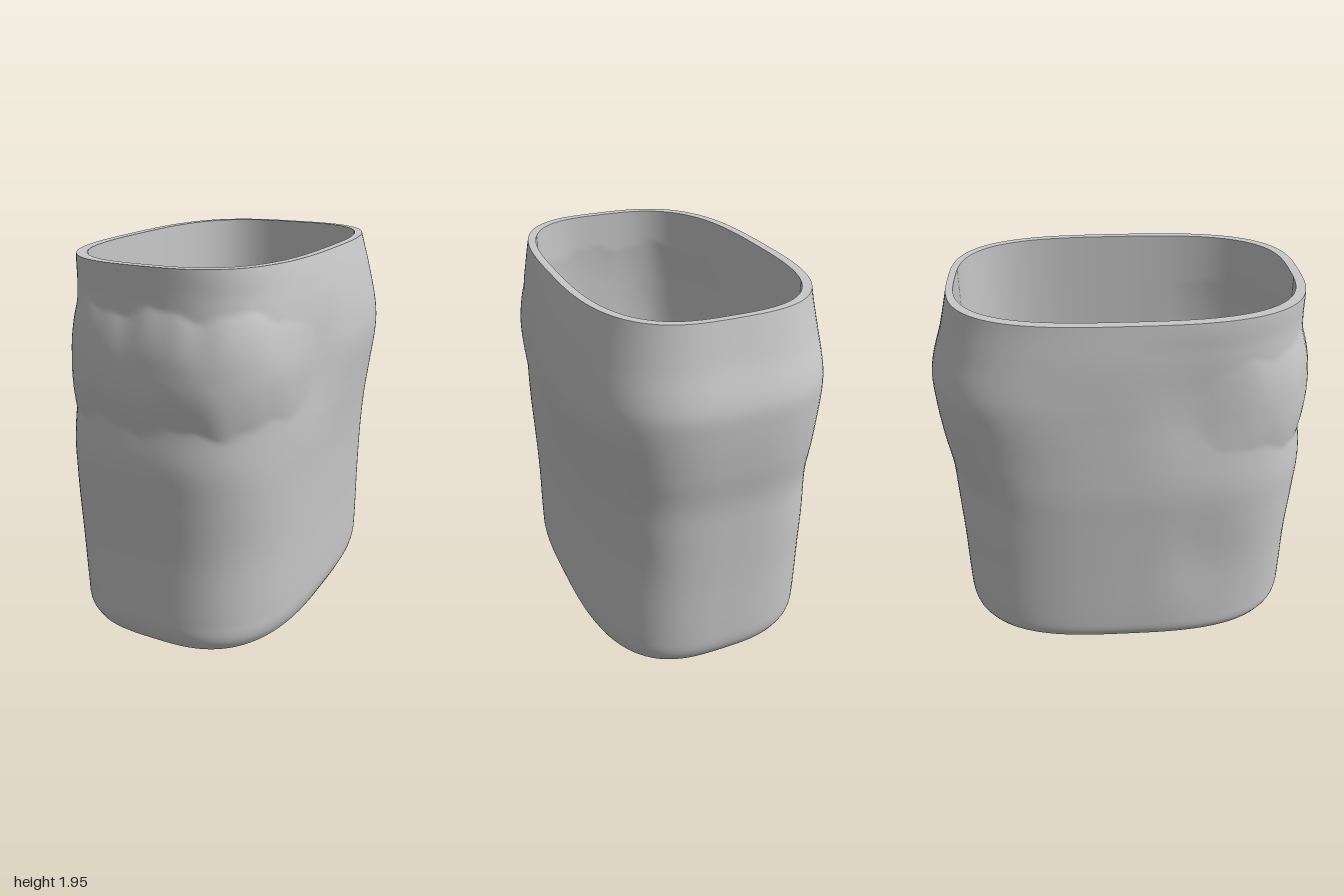
import * as THREE from 'three';

const HEIGHT = 1.95;
const SEGMENTS = 180;

// Outer half-widths per side: [y, left +x, right -x, front +z, back -z]
const PROFILE = [
  [0, 0.585, 0.625, 0.93, 0.88],
  [0.05, 0.608, 0.652, 0.955, 0.905],
  [0.12, 0.62, 0.66, 0.965, 0.915],
  [0.5, 0.622, 0.666, 0.967, 0.921],
  [0.8, 0.627, 0.672, 0.985, 0.932],
  [1.0, 0.638, 0.677, 0.994, 0.942],
  [1.2, 0.656, 0.671, 0.972, 0.972],
  [1.42, 0.674, 0.663, 0.96, 0.992],
  [1.55, 0.667, 0.659, 0.952, 0.99],
  [1.75, 0.635, 0.648, 0.938, 0.93],
  [HEIGHT, 0.585, 0.625, 0.93, 0.88],
];

// Soft swells and dents: [angle from front, y, angle width, height width, amount]
const LUMPS = [
  [0.6, 0.85, 0.22, 0.25, 0.012],
  [-0.6, 0.6, 0.22, 0.4, 0.016],
  [-0.98, 0.55, 0.22, 0.28, -0.022],
  [1.08, 1.43, 0.36, 0.28, -0.04],
  [-1.02, 1.48, 0.34, 0.32, -0.036],
  [2.6, 0.65, 0.14, 0.18, -0.008],
  [-2.6, 0.92, 0.2, 0.16, -0.016],
  [-2.4, 1.5, 0.3, 0.24, 0.026],
  [2.3, 1.45, 0.25, 0.24, 0.008],
];

// Smooth cubic through the profile rows
function sidesAt(y) {
  let i = 0;
  while (i < PROFILE.length - 2 && y > PROFILE[i + 1][0]) i++;
  const p = PROFILE[i], q = PROFILE[i + 1];
  const o = PROFILE[Math.max(i - 1, 0)], r = PROFILE[Math.min(i + 2, PROFILE.length - 1)];
  const h = q[0] - p[0], t = (y - p[0]) / h;
  return [1, 2, 3, 4].map((k) => {
    const m0 = (q[k] - o[k]) / (q[0] - o[0]) * h;
    const m1 = (r[k] - p[k]) / (r[0] - p[0]) * h;
    const d = q[k] - p[k];
    return p[k] + t * (m0 + t * (3 * d - 2 * m0 - m1 + t * (m0 + m1 - 2 * d)));
  });
}

// Radius of a rounded oval in direction a, measured from the front
function ovalRadius([left, right, front, back], a, n) {
  const s = Math.sin(a), c = Math.cos(a);
  const u = Math.abs(s) / (s > 0 ? left : right);
  const v = Math.abs(c) / (c > 0 ? front : back);
  return Math.pow(u ** n + v ** n, -1 / n);
}

// Low dome over the ragged-edged band: 0 at its edge and outside, 1 along its middle
function bandDome(a, y) {
  const t = Math.abs(a) / 1.1;
  if (t >= 1) return 0;
  const upper = y > 1.46;
  const ragged = 0.025 * Math.sin(a * 14 + (upper ? 0.4 : 2)) + 0.01 * Math.sin(a * 33 + 1);
  const half = 0.28 * Math.sqrt(1 - t ** 4) + ragged * (1 - t ** 6);
  const depth = half - Math.abs(y - 1.46);
  if (depth <= 0) return 0;
  return (1 - (1 - Math.min(depth / 0.25, 1)) ** 2) * (1 - t ** 4);
}

function outerPoint(a, y) {
  const edge = THREE.MathUtils.smoothstep(Math.min(y, HEIGHT - y), 0, 0.15);
  let r = ovalRadius(sidesAt(y), a, Math.cos(a) > 0 ? 3 - 0.15 * edge * Math.cos(a) : 3);
  for (const [la, ly, wa, wy, amount] of LUMPS) {
    r += edge * amount * Math.exp(-(((a - la) / wa) ** 2) - ((y - ly) / wy) ** 2);
  }
  r += 0.04 * Math.cos(a) * bandDome(a, y);
  return [r * Math.sin(a), y, r * Math.cos(a)];
}

function innerPoint(a, y) {
  const r = ovalRadius([0.545, 0.577, 0.882, 0.844], a, 3) + 0.012 * bandDome(a, y);
  return [r * Math.sin(a), y, r * Math.cos(a)];
}

// Closed rings joined into a surface; point(angle, t) with t from 0 to 1
function loft(name, rows, point, material) {
  const positions = [], index = [];
  for (let i = 0; i <= rows; i++) {
    for (let j = 0; j < SEGMENTS; j++) {
      positions.push(...point((j / SEGMENTS) * Math.PI * 2 - Math.PI, i / rows));
      if (i === rows) continue;
      const a = i * SEGMENTS + j, b = i * SEGMENTS + ((j + 1) % SEGMENTS);
      index.push(a, b, a + SEGMENTS, b, b + SEGMENTS, a + SEGMENTS);
    }
  }
  const geometry = new THREE.BufferGeometry();
  geometry.setAttribute('position', new THREE.Float32BufferAttribute(positions, 3));
  geometry.setIndex(index);
  geometry.computeVertexNormals();
  const mesh = new THREE.Mesh(geometry, material);
  mesh.name = name;
  return mesh;
}

function mix(p, q, t) {
  return p.map((v, k) => v + (q[k] - v) * t);
}

export function createModel() {
  const grey = new THREE.MeshStandardMaterial({ color: 0xc8c8c8 });
  grey.name = 'plain grey';

  const group = new THREE.Group();
  group.name = 'hollowOvalSleeve';
  group.add(
    loft('outerWall', 120, (a, t) => outerPoint(a, t * HEIGHT), grey),
    loft('topRim', 1, (a, t) => mix(outerPoint(a, HEIGHT), innerPoint(a, HEIGHT), t), grey),
    loft('innerWall', 120, (a, t) => innerPoint(a, (1 - t) * HEIGHT), grey),
    loft('bottomRim', 1, (a, t) => mix(innerPoint(a, 0), outerPoint(a, 0), t), grey),
  );
  return group;
}
